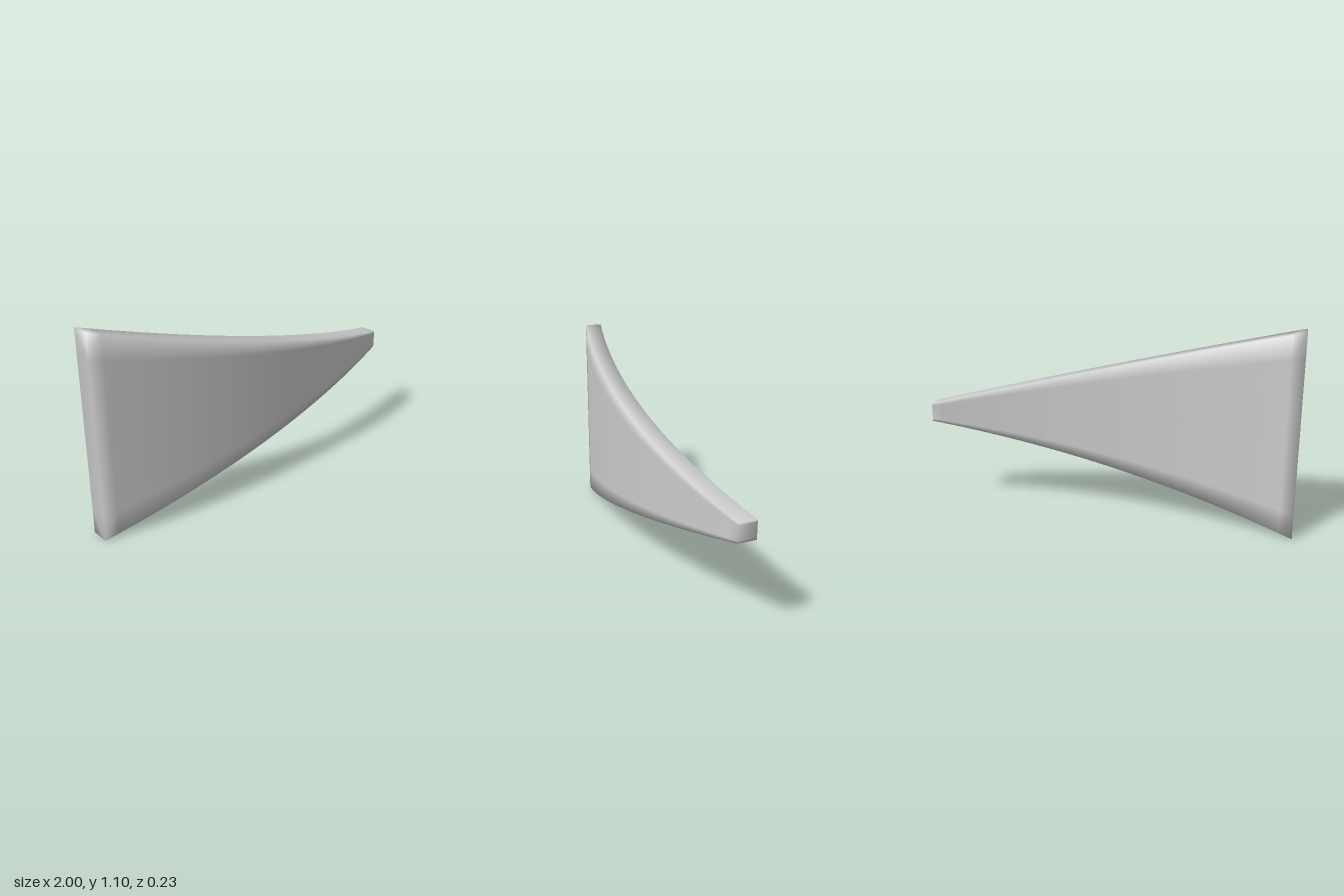
import * as THREE from 'three';

// Half height and front depth of the bowed, tapering panel at position x
const halfHeight = x => 0.285 - 0.25 * x + 0.0145 * x * x;
const frontZ = x => 0.115 - 0.125 * x * x - 0.004 * x;
const THICKNESS = 0.098;
const MID_Y = 0.55;

function panelGeometry() {
  // Stations along the length, with narrow borders at both ends
  const stations = [-1, -0.93];
  for (let i = 1; i < 32; i++) stations.push(-0.93 + (1.88 * i) / 32);
  stations.push(0.95, 1);

  // Ring: front from bottom to top, then back from top to bottom
  const positions = [], index = [];
  for (const x of stations) {
    const h = halfHeight(x), inner = h * 0.76, z = frontZ(x);
    const ys = [-h, -inner, inner, h];
    ys.forEach(y => positions.push(x, MID_Y + y, z));
    [...ys].reverse().forEach(y => positions.push(x, MID_Y + y, z - THICKNESS));
  }
  const quad = (a, b, c, d) => index.push(a, b, c, a, c, d);

  // Faces and edges, sharing vertices for soft shading
  for (let s = 0; s < stations.length - 1; s++) {
    for (let k = 0; k < 8; k++) {
      const n = (k + 1) % 8;
      quad(s * 8 + k, (s + 1) * 8 + k, (s + 1) * 8 + n, s * 8 + n);
    }
  }
  // End caps
  const last = (stations.length - 1) * 8;
  for (let k = 0; k < 3; k++) {
    quad(k, k + 1, 6 - k, 7 - k);
    quad(last + k, last + 7 - k, last + 6 - k, last + k + 1);
  }

  const geometry = new THREE.BufferGeometry();
  geometry.setAttribute('position', new THREE.Float32BufferAttribute(positions, 3));
  geometry.setIndex(index);
  geometry.computeVertexNormals();
  return geometry;
}

export function createModel() {
  const model = new THREE.Group();
  model.name = 'curvedTaperedPanel';
  const grey = new THREE.MeshStandardMaterial({ color: 0xcccccc });
  grey.name = 'light grey';
  const panel = new THREE.Mesh(panelGeometry(), grey);
  panel.name = 'panel';
  model.add(panel);
  return model;
}
